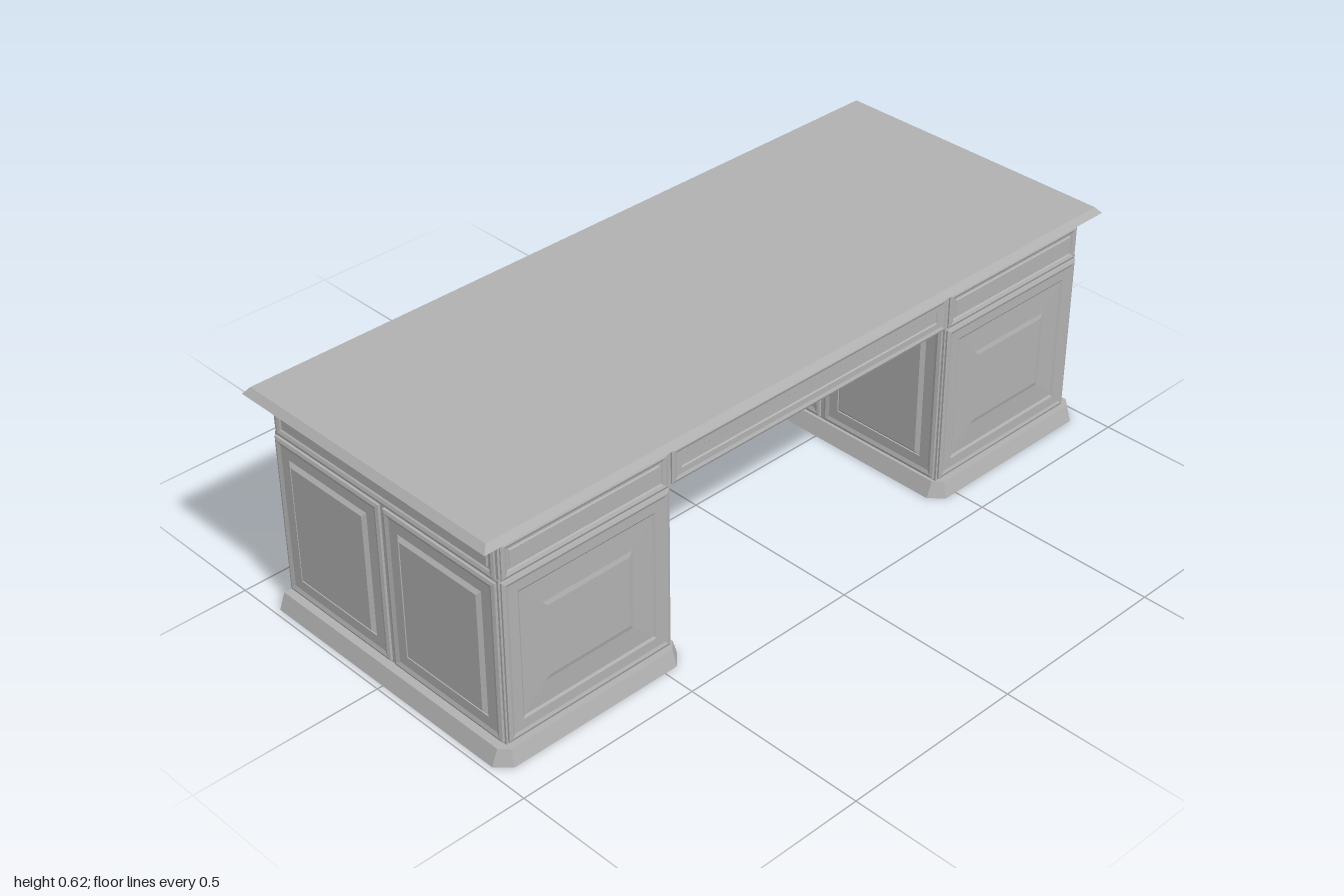
import * as THREE from 'three';

const grey = new THREE.MeshStandardMaterial({ color: 0xb0b0b0 });
grey.name = 'plain grey';

// Flat-shaded loft through rings of points; the last ring is capped, the first optionally
function loft(rings, capStart) {
  const p = [];
  const tri = (a, b, c) => p.push(...a, ...b, ...c);
  const n = rings[0].length;
  for (let r = 0; r < rings.length - 1; r++) {
    for (let i = 0; i < n; i++) {
      const j = (i + 1) % n, a = rings[r], b = rings[r + 1];
      tri(a[i], a[j], b[j]);
      tri(a[i], b[j], b[i]);
    }
  }
  const first = rings[0], last = rings[rings.length - 1];
  for (let i = 1; i < n - 1; i++) {
    tri(last[0], last[i], last[i + 1]);
    if (capStart) tri(first[0], first[i + 1], first[i]);
  }
  const g = new THREE.BufferGeometry();
  g.setAttribute('position', new THREE.Float32BufferAttribute(p, 3));
  g.computeVertexNormals();
  return g;
}

// Moulded panel facing +z: each step is [inset, height]
function panelGeometry(w, h, steps) {
  return loft(steps.map(([inset, z]) => {
    const x = w / 2 - inset, y = h / 2 - inset;
    return [[-x, -y, z], [x, -y, z], [x, y, z], [-x, y, z]];
  }), false);
}

function add(parent, name, geometry, x = 0, y = 0, z = 0, ry = 0) {
  const m = new THREE.Mesh(geometry, grey);
  m.name = name;
  m.position.set(x, y, z);
  m.rotation.y = ry;
  parent.add(m);
  return m;
}

function addBox(parent, name, x0, x1, y0, y1, z0, z1) {
  return add(parent, name, new THREE.BoxGeometry(x1 - x0, y1 - y0, z1 - z0),
    (x0 + x1) / 2, (y0 + y1) / 2, (z0 + z1) / 2);
}

// Moulding profiles
const DOOR = [[0, 0], [0, 0.006], [0.008, 0.009], [0.018, 0.005], [0.046, 0.005], [0.046, 0.001], [0.058, 0.011]];
const SIDE = [[0, 0], [0, 0.005], [0.008, 0.008], [0.016, 0.005], [0.042, 0.005], [0.048, 0.001], [0.11, 0.003], [0.122, 0.006]];
const RAIL = [[0, 0], [0, 0.004], [0.007, 0.007], [0.015, 0.004], [0.018, 0.001], [0.022, 0.001], [0.025, 0.004]];
const SLOT = [[0, 0], [0, 0.004], [0.007, 0.007], [0.015, 0.004], [0.03, 0.004], [0.033, 0.001]];
const DRAWER = [[0, 0], [0, 0.009], [0.008, 0.009], [0.014, 0.003], [0.022, 0.003], [0.026, 0.006]];

const RIGHT = Math.PI / 2, LEFT = -Math.PI / 2, BACK = Math.PI;
const X0 = -0.383, X1 = 0.383;

// Sloping plinth with clipped corners on the +x side
function plinthGeometry() {
  const ring = (y, x1, z0, z1, c) => [
    [X0, y, z1], [x1 - c, y, z1], [x1, y, z1 - c],
    [x1, y, z0 + c], [x1 - c, y, z0], [X0, y, z0]];
  return loft([ring(0, 0.413, 0.43, 0.985, 0.034), ring(0.042, 0.4, 0.443, 0.968, 0.022)], true);
}

// Small cup pull, a squashed half dome
function pullGeometry() {
  const g = new THREE.SphereGeometry(1, 16, 8, 0, Math.PI * 2, 0, Math.PI / 2);
  g.rotateX(Math.PI / 2);
  g.scale(0.026, 0.01, 0.015);
  return g;
}

function pedestal(name, sign) {
  const g = new THREE.Group();
  g.name = name;
  const zc = 0.7 * sign;
  addBox(g, 'cabinet', X0, X1, 0.02, 0.49, zc - 0.245, zc + 0.245);

  const plinth = add(g, 'plinth', plinthGeometry());
  if (sign < 0) plinth.position.z = -1.415; // same profile, moved to the back

  // Paired raised panels on the outer and knee-hole sides
  for (const x of [-0.1925, 0.1925]) {
    add(g, 'endPanel', panelGeometry(0.37, 0.434, DOOR), x, 0.265, zc + 0.245);
    add(g, 'endPanel', panelGeometry(0.37, 0.434, DOOR), x, 0.265, zc - 0.245, BACK);
  }

  // Visitor side
  add(g, 'sidePanel', panelGeometry(0.48, 0.434, SIDE), X1, 0.265, zc, RIGHT);
  add(g, 'upperSideRail', panelGeometry(0.475, 0.092, RAIL), X1, 0.533, zc, RIGHT);

  // Drawer stack with pulls
  const rows = [[0.015, 0.126], [0.135, 0.246], [0.257, 0.368], [0.376, 0.481], [0.496, 0.577]];
  for (const [y0, y1] of rows) {
    const y = (y0 + y1) / 2;
    add(g, 'drawerFront', panelGeometry(0.475, y1 - y0, DRAWER), X0, y, zc, LEFT);
    add(g, 'drawerPull', pullGeometry(), X0 - 0.006, y, zc, LEFT);
  }
  return g;
}

export function createModel() {
  const desk = new THREE.Group();
  desk.name = 'desk';

  // Top with edges sloping in towards the upper face
  const ring = (y, x, z) => [[-x, y, z], [x, y, z], [x, y, -z], [-x, y, -z]];
  add(desk, 'deskTop', loft([ring(0.6, 0.413, 1), ring(0.617, 0.4, 0.985)], true));

  // Apron box running the whole length
  addBox(desk, 'apron', X0, X1, 0.487, 0.601, -0.943, 0.943);
  add(desk, 'frontRail', panelGeometry(0.75, 0.092, RAIL), 0, 0.533, 0.943);
  add(desk, 'backRail', panelGeometry(0.75, 0.092, RAIL), 0, 0.533, -0.943, BACK);
  add(desk, 'centreRail', panelGeometry(0.9, 0.092, SLOT), X1, 0.535, 0, RIGHT);

  // Two knee-hole drawers
  for (const z of [-0.226, 0.226]) {
    add(desk, 'kneeDrawer', panelGeometry(0.435, 0.081, DRAWER), X0, 0.5365, z, LEFT);
  }

  desk.add(pedestal('frontPedestal', 1), pedestal('backPedestal', -1));

  // Mirror the back plinth so its wider overhang faces outwards
  const back = desk.getObjectByName('backPedestal').getObjectByName('plinth');
  back.geometry.translate(0, 0, -0.7075);
  back.position.z = -0.7075;
  return desk;
}
